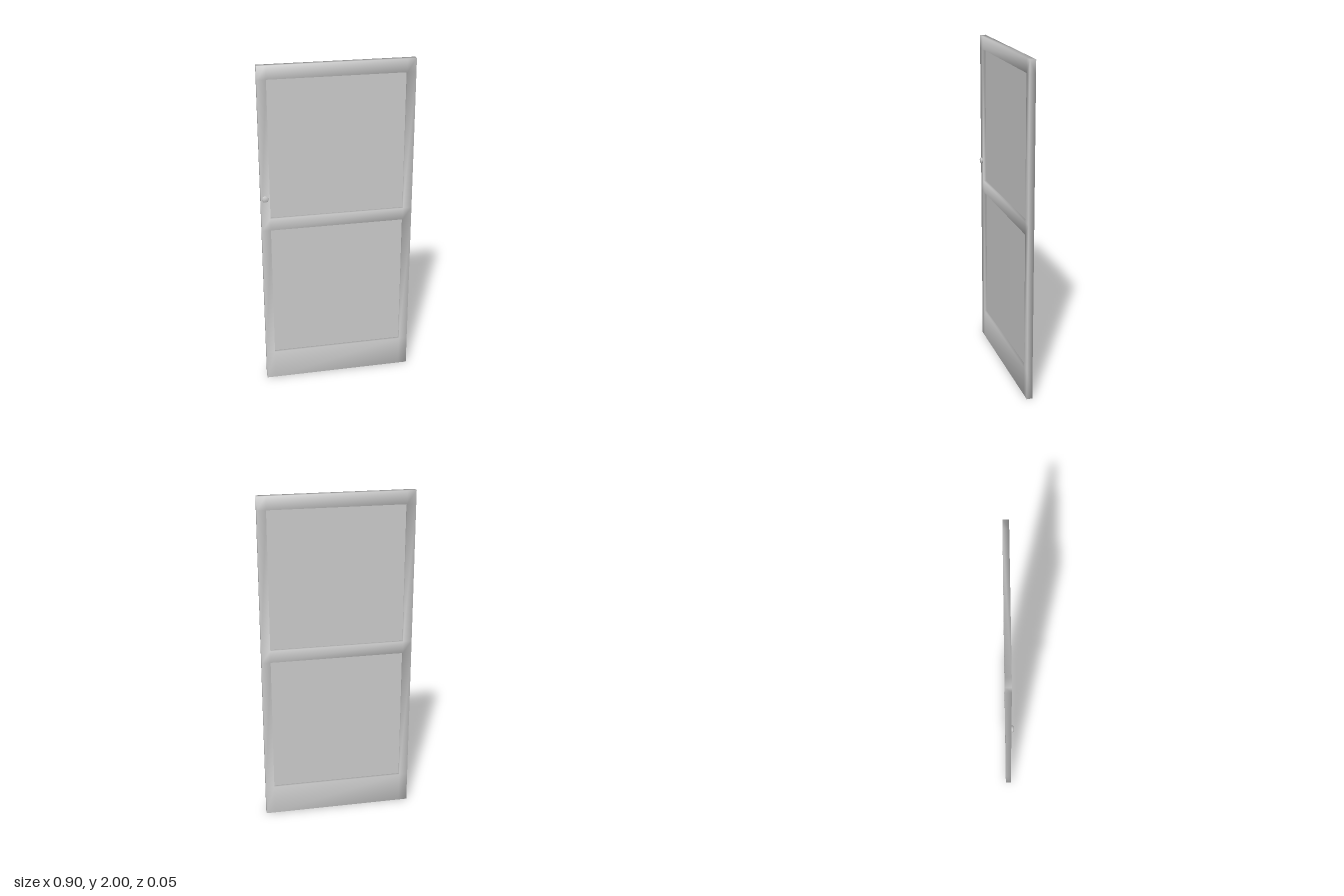
import * as THREE from 'three';

// Grid lines of the frame: stiles in x, rails in y, thickness in z
const X = [-0.4525, -0.4, 0.4, 0.4525];
const Y = [0, 0.184, 1.018, 1.092, 1.922, 2];
const BACK = -0.024, FRONT = 0.0105;

const isSolid = (i, j) =>
  i >= 0 && i < 3 && j >= 0 && j < 5 && !(i === 1 && (j === 1 || j === 3));

// Door frame with two openings; shared vertices give soft, pillowy shading
function frameGeometry() {
  const positions = [], index = [];
  for (const z of [BACK, FRONT])
    for (const y of Y) for (const x of X) positions.push(x, y, z);
  const v = (i, j, k) => k * 24 + j * 4 + i;
  const quad = (a, b, c, d) => index.push(a, b, c, a, c, d);
  for (let i = 0; i < 3; i++) {
    for (let j = 0; j < 5; j++) {
      if (!isSolid(i, j)) continue;
      // corners counter-clockwise as seen from the front
      const ring = [[i, j], [i + 1, j], [i + 1, j + 1], [i, j + 1]];
      const f = ring.map(([a, b]) => v(a, b, 1));
      const r = ring.map(([a, b]) => v(a, b, 0));
      quad(...f);
      quad(r[3], r[2], r[1], r[0]);
      // side walls wherever the neighbouring cell is empty
      [[0, -1], [1, 0], [0, 1], [-1, 0]].forEach(([dx, dy], s) => {
        const n = (s + 1) % 4;
        if (!isSolid(i + dx, j + dy)) quad(r[s], r[n], f[n], f[s]);
      });
    }
  }
  const g = new THREE.BufferGeometry();
  g.setAttribute('position', new THREE.Float32BufferAttribute(positions, 3));
  g.setIndex(index);
  g.computeVertexNormals();
  return g;
}

export function createModel() {
  const model = new THREE.Group();
  model.name = 'door';
  const material = new THREE.MeshStandardMaterial({ color: 0xcccccc });
  const sheet = new THREE.MeshStandardMaterial({ color: 0xcccccc, side: THREE.DoubleSide });
  const add = (name, geometry, mat = material) => {
    const mesh = new THREE.Mesh(geometry, mat);
    mesh.name = name;
    model.add(mesh);
    return mesh;
  };

  add('frame', frameGeometry());

  // Thin infill panels set in the middle of the frame depth
  for (const [name, j] of [['lowerPanel', 1], ['upperPanel', 3]]) {
    const panel = add(name, new THREE.PlaneGeometry(X[2] - X[1], Y[j + 1] - Y[j]), sheet);
    panel.position.set(0, (Y[j] + Y[j + 1]) / 2, (BACK + FRONT) / 2);
  }

  // Small round knob on the front of the right stile
  const profile = [[0.016, 0], [0.019, 0.004], [0.019, 0.007], [0.015, 0.012], [0, 0.013]]
    .map(([r, h]) => new THREE.Vector2(r, h));
  const knob = add('knob', new THREE.LatheGeometry(profile, 20));
  knob.rotation.x = Math.PI / 2;
  knob.position.set(-0.428, 1.22, FRONT);

  return model;
}
